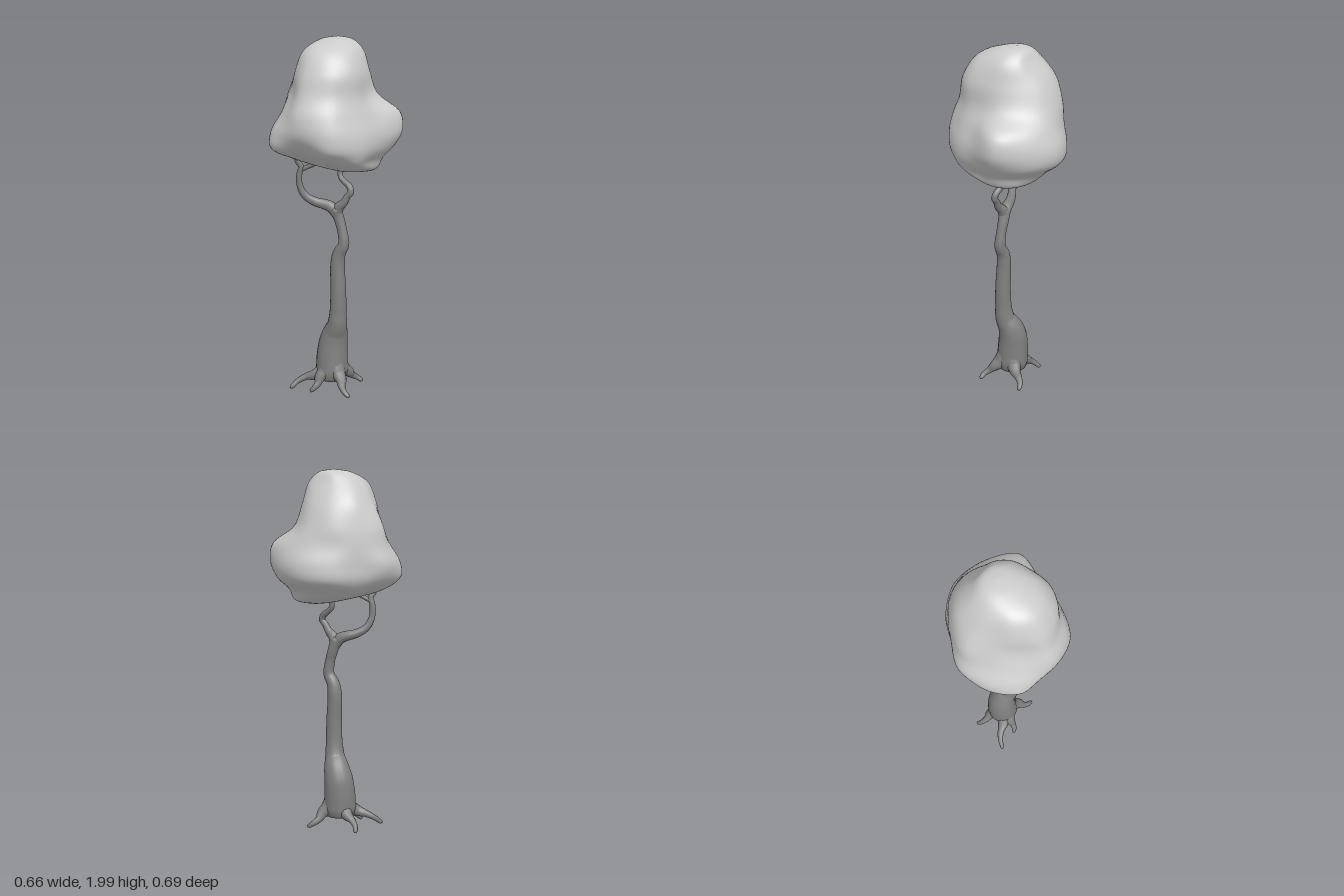
import * as THREE from 'three';
import { mergeVertices } from 'three/addons/utils/BufferGeometryUtils.js';

const leafMaterial = new THREE.MeshStandardMaterial({ color: 0xcccccc });
const barkMaterial = new THREE.MeshStandardMaterial({ color: 0x808080 });
const vec = (p) => new THREE.Vector3(p[0], p[1], p[2]);

// Weld the seam so that shading runs smoothly around the form
function smooth(geometry) {
  geometry.deleteAttribute('uv');
  geometry.deleteAttribute('normal');
  const welded = mergeVertices(geometry, 1e-5);
  welded.computeVertexNormals();
  return welded;
}

// Tapered limb through points [x, y, z, radius]
function limb(name, points, segments = 24, sides = 12) {
  const curve = new THREE.CatmullRomCurve3(points.map(vec), false, 'centripetal');
  const geometry = new THREE.TubeGeometry(curve, segments, 1, sides);
  const pos = geometry.attributes.position;
  const v = new THREE.Vector3();
  for (let i = 0; i <= segments; i++) {
    const centre = curve.getPointAt(i / segments);
    const t = curve.getUtoTmapping(i / segments) * (points.length - 1);
    const k = Math.min(Math.floor(t), points.length - 2);
    const r = THREE.MathUtils.lerp(points[k][3], points[k + 1][3], t - k);
    for (let j = 0; j <= sides; j++) {
      const n = i * (sides + 1) + j;
      v.fromBufferAttribute(pos, n).sub(centre).multiplyScalar(r).add(centre);
      pos.setXYZ(n, v.x, v.y, v.z);
    }
  }
  const mesh = new THREE.Mesh(smooth(geometry), barkMaterial);
  mesh.name = name;
  return mesh;
}

// Lumpy crown: rings of radii every 30 degrees from +x towards +z, splined both ways
function crown() {
  const ring = (r) => Array(12).fill(r);
  const rows = [
    { c: [0, 2.0, -0.045], r: ring(0) },
    { c: [0, 1.985, -0.03], r: ring(0.085) },
    { c: [0, 1.93, 0], r: [.158, .175, .185, .19, .17, .15, .15, .16, .16, .15, .16, .16] },
    { c: [0, 1.82, 0], r: [.205, .24, .26, .26, .22, .20, .22, .24, .235, .22, .20, .195] },
    { c: [0, 1.70, 0], r: [.22, .25, .285, .30, .24, .24, .285, .27, .275, .27, .245, .235] },
    { c: [0, 1.60, 0], r: [.27, .28, .325, .34, .29, .28, .305, .28, .285, .31, .33, .36] },
    { c: [0, 1.50, 0], r: [.30, .31, .345, .34, .345, .335, .33, .28, .305, .345, .355, .372] },
    { c: [0, 1.42, 0], r: [.29, .31, .33, .285, .35, .335, .30, .27, .30, .33, .335, .33] },
    { c: [0, 1.355, 0], r: [.25, .28, .24, .18, .22, .25, .22, .22, .23, .25, .265, .27] },
    { c: [0.085, 1.295, -0.06], r: ring(0.135) },
    { c: [0.1, 1.27, -0.08], r: ring(0) },
  ];
  const columns = rows[0].r.map((_, j) => {
    const a = (j * Math.PI) / 6;
    return new THREE.CatmullRomCurve3(rows.map(({ c, r }) =>
      new THREE.Vector3(c[0] + r[j] * Math.cos(a), c[1], c[2] + r[j] * Math.sin(a))));
  });
  const down = 60, around = 72;
  const positions = [], index = [];
  for (let i = 0; i <= down; i++) {
    const loop = new THREE.CatmullRomCurve3(columns.map((col) => col.getPoint(i / down)), true, 'catmullrom', 0.5);
    for (let j = 0; j < around; j++) {
      const p = loop.getPoint(j / around);
      positions.push(p.x, p.y, p.z);
      if (i === down) continue;
      const a = i * around + j, b = i * around + ((j + 1) % around);
      index.push(a, b, a + around, b, b + around, a + around);
    }
  }
  const geometry = new THREE.BufferGeometry();
  geometry.setAttribute('position', new THREE.Float32BufferAttribute(positions, 3));
  geometry.setIndex(index);
  const mesh = new THREE.Mesh(smooth(geometry), leafMaterial);
  mesh.name = 'crown';
  return mesh;
}

// Root from the trunk foot out over a raised knee to a tip on the ground
function root(name, [x, z, knee, bend]) {
  const reach = Math.hypot(x, z);
  const dx = x / reach, dz = z / reach;
  const at = (d, y, r, side = 0) => [dx * d - dz * side, y, dz * d + dx * side, r];
  const out = (t) => THREE.MathUtils.lerp(0.08, reach, t);
  return limb(name, [
    at(.03, .16, .05), at(.06, .115, .044), at(out(.15), .088, .032), at(out(.42), knee, .02, bend),
    at(out(.72), knee * .65, .015, bend), at(out(.93), .02, .012), at(out(.99), .013, .008), at(reach, .012, 0),
  ], 30, 10);
}

export function createModel() {
  const tree = new THREE.Group();
  tree.name = 'tree';
  tree.add(crown());

  // Trunk, flared at the foot and kinked below the fork
  tree.add(limb('trunk', [
    [-.01, .055, 0, 0], [-.01, .06, 0, .075], [-.01, .11, 0, .092], [-.012, .2, -.004, .088],
    [-.006, .28, -.008, .082], [.01, .34, -.004, .072], [.035, .4, .012, .056], [.044, .48, .017, .047],
    [.046, .6, .018, .044], [.04, .76, .016, .04], [.05, .82, .014, .036], [.076, .87, .01, .031],
    [.066, .95, .01, .027], [.042, 1.03, .014, .03], [.03, 1.075, .022, .034], [.028, 1.1, .025, 0],
  ], 72, 18));

  // Fork and twigs that reach into the crown
  tree.add(limb('rightBranch', [
    [.04, 1.03, .016, .028], [.01, 1.075, .028, .032], [-.03, 1.092, .045, .028], [-.07, 1.105, .07, .025],
    [-.115, 1.14, .105, .021], [-.137, 1.2, .125, .017], [-.135, 1.27, .128, .016], [-.125, 1.302, .125, .016],
    [-.14, 1.34, .145, .013], [-.145, 1.4, .15, .009],
  ], 44));
  tree.add(limb('rightTwig', [
    [-.13, 1.285, .125, .013], [-.09, 1.305, .11, .012], [-.05, 1.325, .1, .011], [-.02, 1.37, .09, .008],
  ], 16));
  tree.add(limb('leftBranch', [
    [.035, 1.03, .016, .028], [.05, 1.08, .018, .029], [.08, 1.108, .016, .022], [.1, 1.145, .01, .018],
    [.12, 1.172, .005, .018], [.108, 1.2, .003, .018], [.075, 1.223, .002, .016], [.048, 1.247, 0, .014],
    [.043, 1.29, -.005, .013], [.05, 1.36, -.01, .009],
  ], 44));

  // Roots: tip x, tip z, knee height, sideways bend
  const roots = [
    [-.19, .165, .075, .012], [-.055, .145, .06, -.008], [.168, .09, .058, .01],
    [.092, -.162, .058, -.012], [-.178, -.065, .068, -.01],
  ];
  roots.forEach((r, i) => tree.add(root('root' + (i + 1), r)));
  return tree;
}
